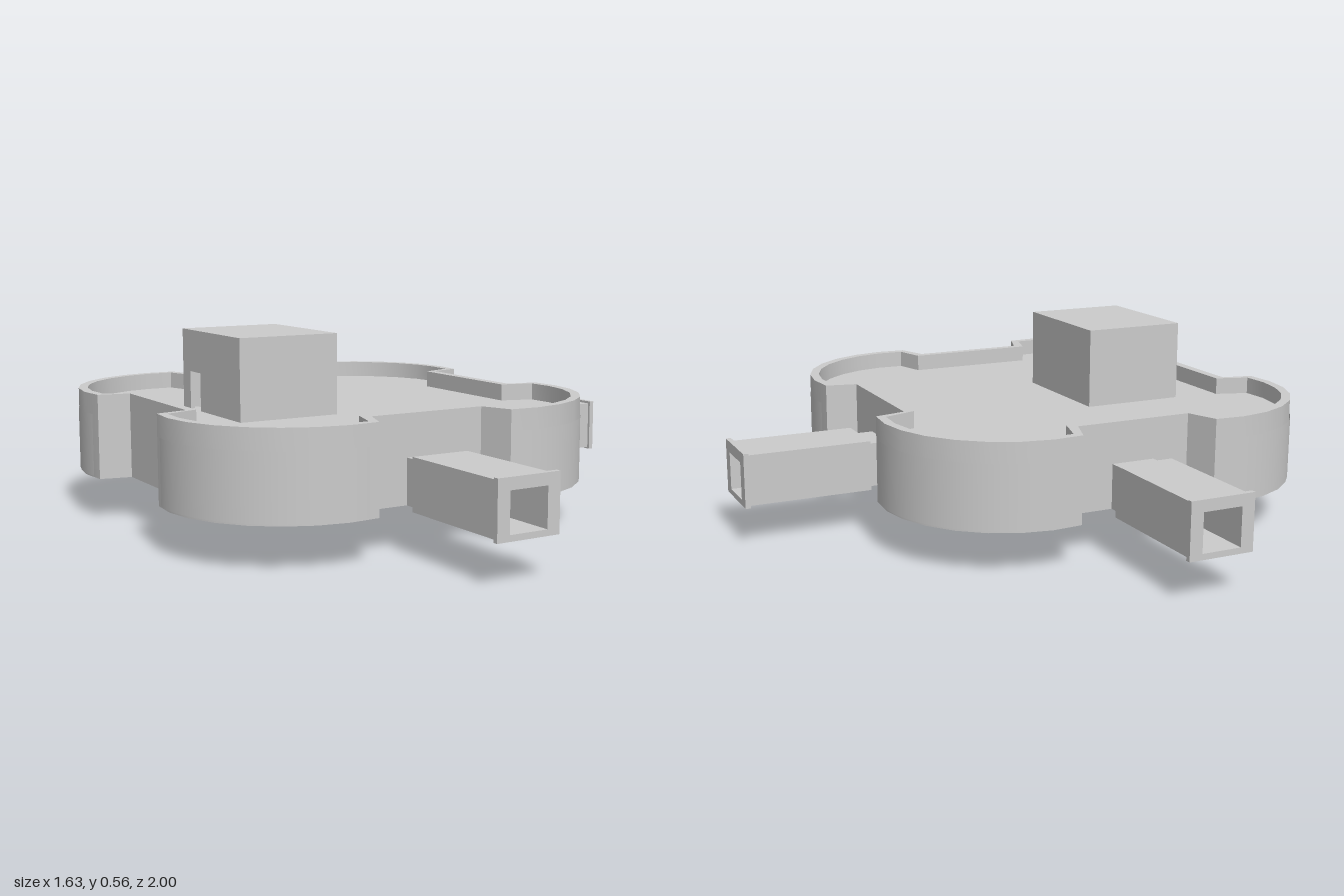
import * as THREE from 'three';
import { toCreasedNormals } from 'three/addons/utils/BufferGeometryUtils.js';

const CX = -0.175; // centre of the main hall
const FLOOR = 0.125, ROOF = 0.325, TOP = 0.375;
const LOBE = [0.28, 0.295]; // centre of a corner lobe, relative to the hall

const grey = new THREE.MeshStandardMaterial({ color: 0xcccccc });
const greyDouble = new THREE.MeshStandardMaterial({ color: 0xcccccc, side: THREE.DoubleSide });

function add(parent, name, geometry, x = 0, y = 0, z = 0, material = grey) {
  const mesh = new THREE.Mesh(geometry, material);
  mesh.name = name;
  mesh.position.set(x, y, z);
  parent.add(mesh);
  return mesh;
}

// Box given by its lower and upper corners
function block(parent, name, a, b) {
  const g = new THREE.BoxGeometry(b[0] - a[0], b[1] - a[1], b[2] - a[2]);
  return add(parent, name, g, (a[0] + b[0]) / 2, (a[1] + b[1]) / 2, (a[2] + b[2]) / 2);
}

// Four-lobed plan with a straight notch on each side
function outline(radius, from, to, notchX, halfZ, notchZ, halfX) {
  const quarter = [[notchX, halfZ]];
  for (let i = 0; i <= 8; i++) {
    const a = THREE.MathUtils.degToRad(from + ((to - from) * i) / 8);
    quarter.push([LOBE[0] + radius * Math.cos(a), LOBE[1] + radius * Math.sin(a)]);
  }
  quarter.push([halfX, notchZ]);
  const points = [];
  for (const [sx, sy] of [[1, 1], [-1, 1], [-1, -1], [1, -1]]) {
    const q = quarter.map(([x, y]) => new THREE.Vector2(x * sx, y * sy));
    points.push(...(sx * sy > 0 ? q : q.reverse()));
  }
  return points;
}

function rectangle(x0, y0, x1, y1) {
  return [[x0, y0], [x1, y0], [x1, y1], [x0, y1]].map(([x, y]) => new THREE.Vector2(x, y));
}

function extrude(points, depth, hole) {
  const shape = new THREE.Shape(points);
  if (hole) shape.holes.push(new THREE.Path(hole));
  return new THREE.ExtrudeGeometry(shape, { depth, bevelEnabled: false });
}

// Plan shape raised upward
function raise(points, height, hole) {
  return toCreasedNormals(extrude(points, height, hole).rotateX(-Math.PI / 2), 0.5);
}

function createHall() {
  const hall = new THREE.Group();
  hall.name = 'hall';
  hall.position.x = CX;
  const outer = outline(0.363, -12, 101, 0.543, 0.2, 0.56, 0.177);
  const inner = outline(0.336, -10, 99, 0.515, 0.206, 0.535, 0.2);
  add(hall, 'outerWall', raise(outer, TOP - FLOOR, inner), 0, FLOOR);
  add(hall, 'floor', raise(inner, 0.008, rectangle(-0.375, -0.19, 0.0, 0.19)), 0, FLOOR);
  add(hall, 'roof', raise(inner, 0.012, rectangle(-0.365, -0.18, -0.075, 0.18)), 0, ROOF - 0.012);

  // Thin curved window panel on each lobe
  for (const sx of [1, -1]) {
    for (const sz of [1, -1]) {
      const start = THREE.MathUtils.degToRad(-7);
      const length = THREE.MathUtils.degToRad(103);
      const base = Math.atan2(sx, sz); // cylinder angles run from +z towards +x
      const middle = Math.PI / 4;
      const g = new THREE.CylinderGeometry(0.364, 0.364, 0.185, 16, 1, true,
        base - middle + (sx * sz > 0 ? Math.PI / 2 - (start + length) : start), length);
      add(hall, 'windowPanel', g, LOBE[0] * sx, 0.2225, LOBE[1] * sz, greyDouble);
    }
  }
  return hall;
}

// Hollow entrance tunnel, running outward along +z from the hall wall
function createTunnel(start) {
  const tunnel = new THREE.Group();
  tunnel.name = 'entranceTunnel';
  const opening = () => rectangle(-0.058, 0.132, 0.058, 0.242);
  const tube = (name, half, y0, y1, z0, z1) =>
    add(tunnel, name, extrude(rectangle(-half, y0, half, y1), z1 - z0, opening()), 0, 0, z0);
  tube('connector', 0.066, 0.125, 0.255, start - 0.01, start + 0.065);
  tube('tunnelBody', 0.088, 0.12, 0.268, start + 0.06, start + 0.425);
  tube('endFrame', 0.096, 0.115, 0.275, start + 0.425, start + 0.44);
  block(tunnel, 'innerDoor', [-0.058, 0.132, start], [0.058, 0.242, start + 0.006]);
  add(tunnel, 'doorKnob', new THREE.SphereGeometry(0.004, 10, 8), -0.042, 0.185, start + 0.009);
  return tunnel;
}

function createCabin() {
  const cabin = new THREE.Group();
  cabin.name = 'stairCabin';
  const [x0, x1, h, t, y1] = [-0.55, -0.24, 0.19, 0.012, 0.56];
  const y0 = ROOF - 0.01;
  block(cabin, 'cabinRoof', [x0, y1 - t, -h], [x1, y1, h]);
  block(cabin, 'cabinWall', [x1 - t, y0, -h], [x1, y1 - t, h]);
  for (const s of [-1, 1]) {
    const z = s * (h - t / 2);
    block(cabin, 'cabinWall', [x0, y0, z - t / 2], [x1 - t, y1 - t, z + t / 2]);
  }
  // Wall with the doorway onto the terrace
  const wall = extrude(rectangle(-h + t, y0, h - t, y1 - t), t, rectangle(-0.14, ROOF, -0.07, 0.437));
  add(cabin, 'doorWall', wall.rotateY(-Math.PI / 2), x0 + t);
  return cabin;
}

// Flight from the hall floor to the cabin, with side plates reaching the ground
function createStairs() {
  const stairs = new THREE.Group();
  stairs.name = 'stairs';
  const steps = 12, x0 = -0.25, run = 0.288 / steps, rise = (ROOF - FLOOR) / steps;
  const profile = [new THREE.Vector2(x0, FLOOR)];
  for (let i = 0; i < steps; i++) {
    const y = FLOOR + rise * (i + 1);
    profile.push(new THREE.Vector2(x0 - run * i, y), new THREE.Vector2(x0 - run * (i + 1), y));
  }
  profile.push(new THREE.Vector2(x0 - run * steps, ROOF - 0.02), new THREE.Vector2(x0 - run, FLOOR));
  add(stairs, 'flight', extrude(profile, 0.156), 0, 0, -0.173);
  const plate = [[-0.365, 0], [-0.365, 0.205], [-0.54, 0.32], [-0.54, 0.122]]
    .map(([x, y]) => new THREE.Vector2(x, y));
  for (const z of [-0.177, -0.017]) add(stairs, 'sidePlate', extrude(plate, 0.004), 0, 0, z);
  return stairs;
}

export function createModel() {
  const model = new THREE.Group();
  model.name = 'building';
  model.add(createHall(), createCabin(), createStairs());
  // Tunnels at the front, back and one side
  for (const [x, angle, start] of [[CX, 0, 0.56], [CX, Math.PI, 0.56], [0, Math.PI / 2, 0.37]]) {
    const tunnel = createTunnel(start);
    tunnel.position.x = x;
    tunnel.rotation.y = angle;
    model.add(tunnel);
  }
  return model;
}
